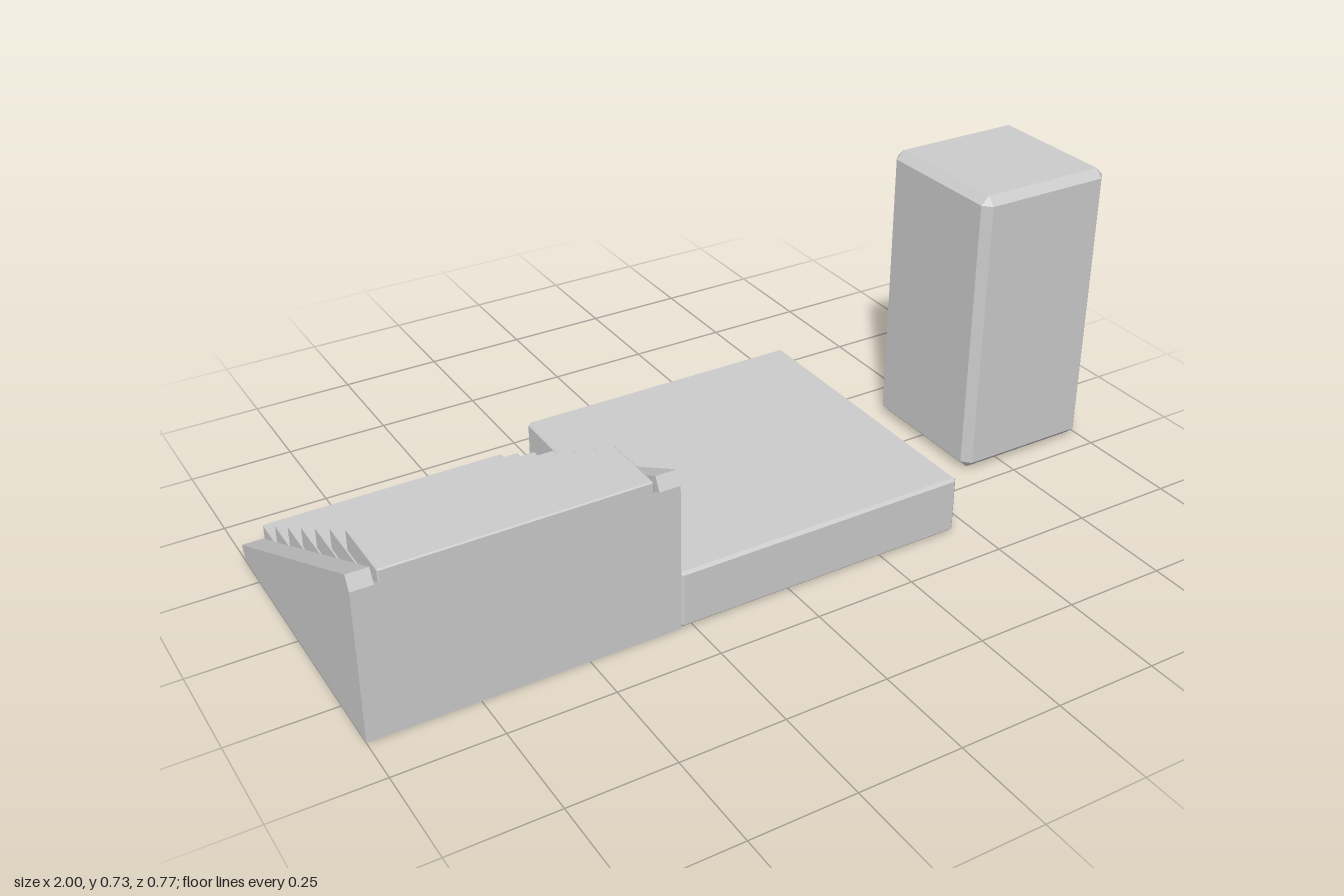
import * as THREE from 'three';
import { ConvexGeometry } from 'three/addons/geometries/ConvexGeometry.js';

const material = new THREE.MeshStandardMaterial({ color: 0xcccccc, flatShading: true });

// Box between two corners with every edge cut by a flat chamfer
function chamferBox(name, min, max, chamfer) {
  const half = max.map((v, i) => (v - min[i]) / 2);
  const points = [];
  for (const sx of [-1, 1]) for (const sy of [-1, 1]) for (const sz of [-1, 1]) {
    for (let axis = 0; axis < 3; axis++) {
      const p = half.map((h, i) => (i === axis ? h : h - chamfer));
      points.push(new THREE.Vector3(p[0] * sx, p[1] * sy, p[2] * sz));
    }
  }
  const mesh = new THREE.Mesh(new ConvexGeometry(points), material);
  mesh.name = name;
  mesh.position.set(...max.map((v, i) => (v + min[i]) / 2));
  return mesh;
}

// Prism along x from a side profile given as [z, y] points
function sidePrism(name, profile, x0, x1) {
  const shape = new THREE.Shape(profile.map(([z, y]) => new THREE.Vector2(-z, y)));
  const geometry = new THREE.ExtrudeGeometry(shape, { depth: x1 - x0, bevelEnabled: false });
  geometry.rotateY(Math.PI / 2);
  geometry.translate(x0, 0, 0);
  const mesh = new THREE.Mesh(geometry, material);
  mesh.name = name;
  return mesh;
}

export function createModel() {
  const model = new THREE.Group();
  model.name = 'stairsPlatformAndPillar';

  // Free-standing pillar and low platform
  model.add(chamferBox('pillar', [0.637, 0.003, -0.163], [1, 0.727, 0.2], 0.02));
  model.add(chamferBox('platform', [-0.28, 0.003, -0.35], [0.455, 0.146, 0.387], 0.007));

  const stairs = new THREE.Group();
  stairs.name = 'stairs';

  // Solid ramp carrying the steps
  stairs.add(sidePrism('stairBase', [[0.383, 0], [0.383, 0.364], [-0.347, 0.003], [-0.347, 0]], -1, -0.278));

  // Sloped curbs along both sides
  const curb = [[0.383, 0.363], [0.366, 0.395], [-0.361, 0.035], [-0.347, 0.003]];
  stairs.add(sidePrism('rightCurb', curb, -1, -0.95));
  stairs.add(sidePrism('leftCurb', curb, -0.328, -0.278));

  // Overlapping steps climbing towards the front
  const count = 7;
  for (let i = 0; i < count; i++) {
    const y = 0.001 + i * 0.056;
    const z = -0.388 + i * 0.1;
    stairs.add(chamferBox('step' + (i + 1), [-0.94, y, z], [-0.338, y + 0.054, z + 0.166], 0.003));
  }
  model.add(stairs);
  return model;
}
